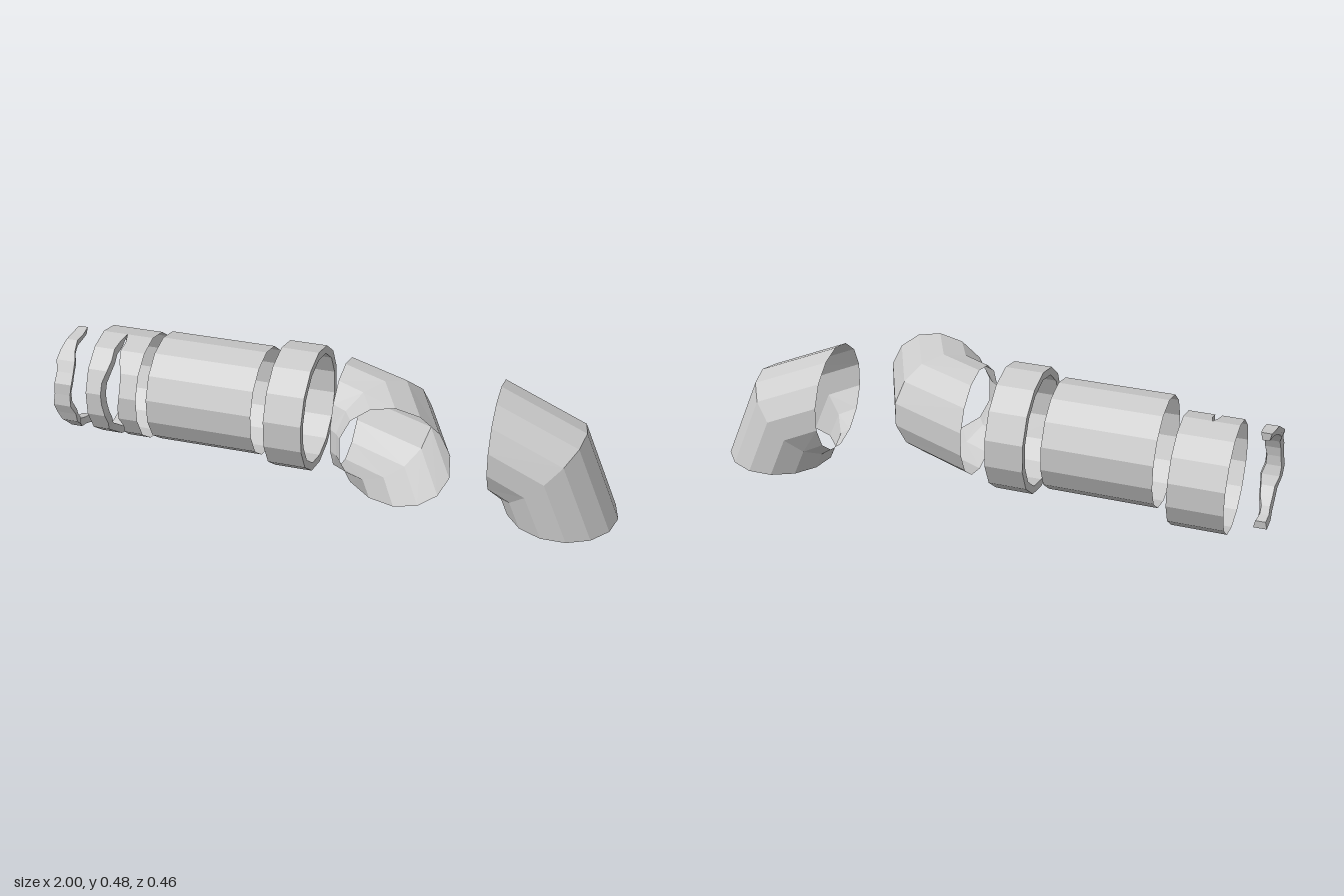
import * as THREE from 'three';

const SIDES = 14;
const R = 0.192;
const AXIS = { y: 0.257, z: -0.007 };
const LOW_AXIS = { y: 0.226, z: -0.045 };

const material = new THREE.MeshStandardMaterial({ color: 0xcccccc, flatShading: true, side: THREE.DoubleSide });

// Point on the 14-sided outline, t counted in sides from the top towards the front
function outline(t, r, phase = 0) {
  const corner = (k) => {
    const a = ((k + phase) / SIDES) * Math.PI * 2;
    return [Math.cos(a) * r, Math.sin(a) * r];
  };
  const k = Math.floor(t), f = t - k;
  const [y0, z0] = corner(k), [y1, z1] = corner(k + 1);
  return { y: y0 + (y1 - y0) * f, z: z0 + (z1 - z0) * f };
}

// Skin joining rows of equal length
function loft(rows) {
  const n = rows[0].length, index = [];
  for (let i = 0; i < rows.length - 1; i++) {
    for (let j = 0; j < n - 1; j++) {
      const a = i * n + j, b = a + 1, c = a + n, d = c + 1;
      index.push(a, b, c, b, d, c);
    }
  }
  const geometry = new THREE.BufferGeometry().setFromPoints(rows.flat());
  geometry.setIndex(index);
  const flat = geometry.toNonIndexed();
  flat.computeVertexNormals();
  return flat;
}

function ring(place, r, phase = 0) {
  return Array.from({ length: SIDES + 1 }, (_, k) => place(outline(k, r, phase)));
}

function part(name, geometry) {
  const mesh = new THREE.Mesh(geometry, material);
  mesh.name = name;
  return mesh;
}

// Tube along x through a list of [x, radius]
function tube(name, profile, axis) {
  return part(name, loft(profile.map(([x, r]) =>
    ring((p) => new THREE.Vector3(x, axis.y + p.y, axis.z + p.z), r))));
}

// Two-piece mitred bend around the origin, from +x travel to -y travel
function elbow(name, startX, endY, phase) {
  const bend = 0.257, m = Math.SQRT1_2;
  return part(name, loft([
    ring((p) => new THREE.Vector3(startX, bend + p.y, p.z), R, phase),
    ring((p) => new THREE.Vector3((bend + p.y) * m, (bend + p.y) * m, p.z), R, phase),
    ring((p) => new THREE.Vector3(bend + p.y, endY, p.z), R, phase),
  ]));
}

// Jagged half-width of the break, s from 0 (top) to 1 (bottom) around the front
const STEPS = 14;
function jag(i, side) {
  return [0.004, -0.005, 0.002, 0.006, -0.006][(i * 2 + (side > 0 ? 0 : 3)) % 5];
}

// Pipe with a jagged wedge missing from its front half
function brokenPipe() {
  const group = new THREE.Group();
  group.name = 'brokenPipe';
  const mid = -0.777;
  const at = (x, p) => new THREE.Vector3(x, LOW_AXIS.y + p.y, LOW_AXIS.z + p.z);
  for (const side of [-1, 1]) {
    const end = [], edge = [], lip = [];
    for (let i = 0; i <= STEPS * 2; i++) {
      const t = i / 2;
      const open = i > 0 && i < STEPS;
      const half = open ? 0.032 * Math.sin((Math.PI * i) / STEPS) + jag(i, side) : 0;
      const p = outline(t, R);
      end.push(at(side < 0 ? -0.868 : -0.68, p));
      edge.push(at(mid + side * Math.max(half, 0), p));
      if (i <= STEPS) {
        const inner = outline(t, open ? 0.165 : R);
        lip.push(at(mid + side * Math.max(half * 0.75, 0), inner));
      }
    }
    const wall = side < 0 ? [end, edge] : [edge, end];
    const torn = edge.slice(0, STEPS + 1);
    group.add(part('brokenWall', loft(wall)));
    group.add(part('tornEdge', loft(side < 0 ? [torn, lip] : [lip, torn])));
  }
  return group;
}

// Curved chip that broke out of the pipe
function fragment() {
  const rows = [];
  for (let i = 0; i <= STEPS; i++) {
    const s = Math.sin((Math.PI * i) / STEPS);
    const t = -0.2 + (i / STEPS) * 7;
    const outer = outline(t, R - (i % 2 ? 0.005 : 0));
    const inner = outline(t, 0.163);
    const half = 0.018 + 0.015 * s;
    const right = -0.96 + half + jag(i, 1), left = -0.96 - half + jag(i, -1) * 0.8;
    const at = (x, p) => new THREE.Vector3(x, LOW_AXIS.y + p.y, LOW_AXIS.z + p.z);
    const section = [at(right, outer), at(left, outer), at(left + 0.006, inner), at(right - 0.006, inner)];
    section.push(section[0].clone());
    // Close both tips with a section collapsed to its centre
    const centre = new THREE.Vector3();
    section.slice(0, 4).forEach((v) => centre.addScaledVector(v, 0.25));
    const cap = section.map(() => centre.clone());
    if (i === 0) rows.push(cap);
    rows.push(section);
    if (i === STEPS) rows.push(cap);
  }
  return part('pipeFragment', loft(rows));
}

export function createModel() {
  const model = new THREE.Group();
  model.name = 'pipeKit';

  model.add(fragment(), brokenPipe());
  model.add(tube('straightPipe', [[-0.624, R], [-0.244, R]], AXIS));

  // Thick joining collar
  const a = -0.19, b = -0.057, outer = 0.22;
  model.add(tube('collar', [[a, R], [a, outer], [b, outer], [b, R], [a, R]], AXIS));

  // Bend turning to the front
  const frontElbow = elbow('frontElbow', 0.023, 0.022, 0.5);
  frontElbow.rotation.x = -Math.PI / 2;
  frontElbow.position.set(0.014, AXIS.y, 0.25);
  model.add(frontElbow);

  // Bend turning down
  const downElbow = elbow('downElbow', 0.022, 0, 0);
  downElbow.position.set(0.55, 0, AXIS.z);
  model.add(downElbow);

  return model;
}
